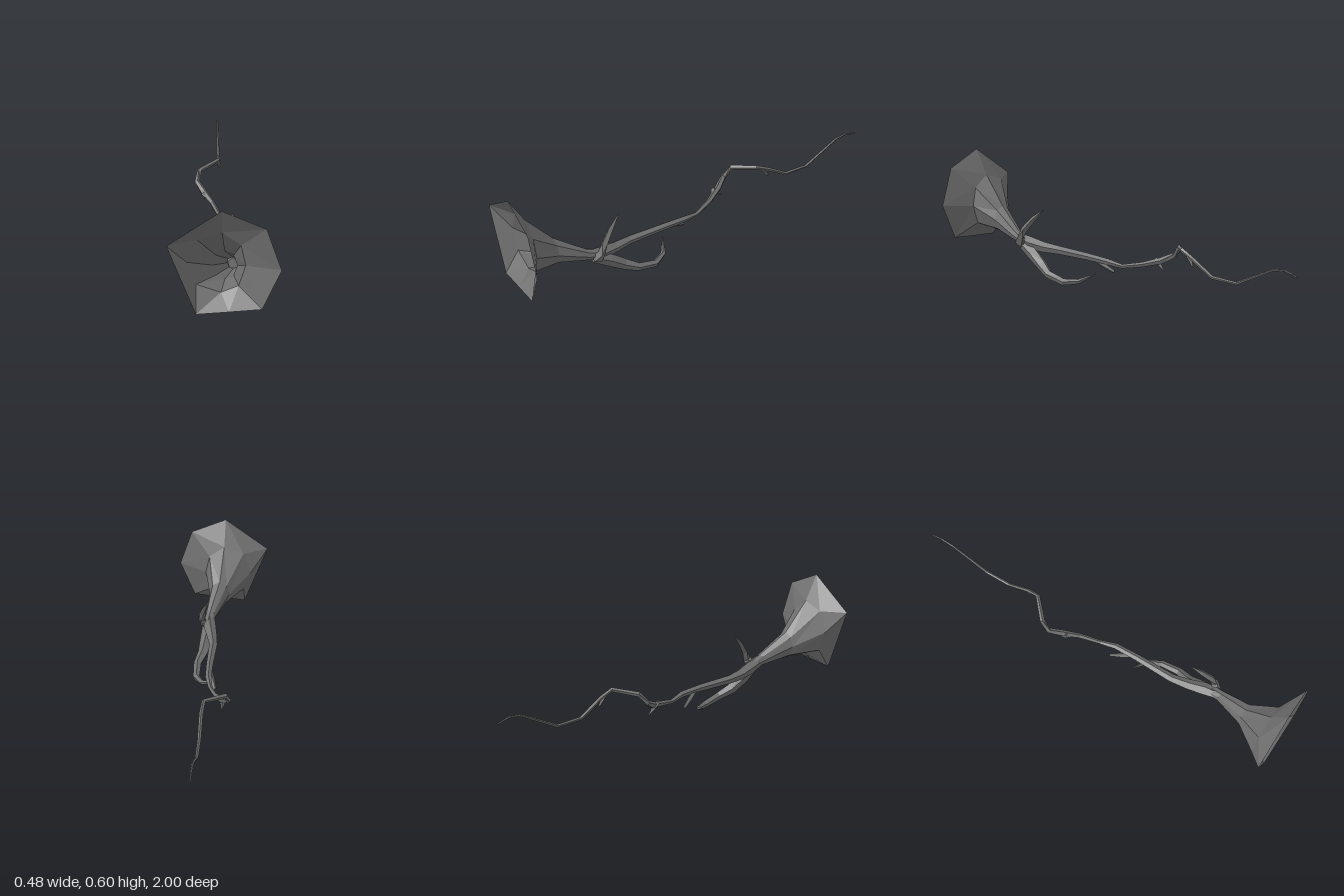
import * as THREE from 'three';

const V = (x, y, z) => new THREE.Vector3(x, y, z);

// Skin of flat facets between successive rings of equal length
function loft(rings) {
  const pos = [];
  const tri = (a, b, c) => {
    const area = b.clone().sub(a).cross(c.clone().sub(a)).length();
    if (area > 1e-9) for (const p of [a, b, c]) pos.push(p.x, p.y, p.z);
  };
  for (let i = 0; i + 1 < rings.length; i++) {
    const a = rings[i], b = rings[i + 1], n = a.length;
    for (let j = 0; j < n; j++) {
      const k = (j + 1) % n;
      tri(a[j], a[k], b[j]);
      tri(a[k], b[k], b[j]);
    }
  }
  const g = new THREE.BufferGeometry();
  g.setAttribute('position', new THREE.Float32BufferAttribute(pos, 3));
  g.computeVertexNormals();
  return g;
}

// Closed tapering limb through points [x, y, z, radius]
function limb(points, sides) {
  const c = points.map(p => V(p[0], p[1], p[2]));
  const rings = c.map((p, i) => {
    const t = c[Math.min(i + 1, c.length - 1)].clone().sub(c[Math.max(i - 1, 0)]).normalize();
    const right = t.clone().cross(V(0, 1, 0)).normalize();
    const up = right.clone().cross(t);
    return Array.from({ length: sides }, (_, j) => {
      const a = (j / sides) * Math.PI * 2;
      return p.clone()
        .addScaledVector(right, Math.sin(a) * points[i][3])
        .addScaledVector(up, Math.cos(a) * points[i][3]);
    });
  });
  const point = p => Array.from({ length: sides }, () => p.clone());
  return loft([point(c[0]), ...rings, point(c[c.length - 1])]);
}

export function createModel() {
  const group = new THREE.Group();
  const bark = new THREE.MeshStandardMaterial({ color: 0x707070, flatShading: true, side: THREE.DoubleSide });
  bark.name = 'grey bark';
  const add = (name, geometry) => {
    const m = new THREE.Mesh(geometry, bark);
    m.name = name;
    group.add(m);
  };

  // Open flared base: irregular rim, throat, then neck
  const ring = (z, pts) => pts.map(([x, y]) => V(x, y, z));
  const oval = (x, y, z, rx, ry) => Array.from({ length: 8 }, (_, j) => {
    const a = (j - 1) * Math.PI / 4;
    return V(x + Math.sin(a) * rx, y + Math.cos(a) * ry, z);
  });
  add('flaredBase', loft([
    ring(1, [[-0.24, 0.45], [-0.01, 0.61], [0.175, 0.53], [0.24, 0.34],
      [0.16, 0.155], [0.02, 0.142], [-0.12, 0.13], [-0.24, 0.45]]),
    ring(0.928, [[-0.115, 0.445], [-0.01, 0.48], [0.07, 0.42], [0.09, 0.325],
      [0.06, 0.23], [-0.015, 0.198], [-0.12, 0.235], [-0.16, 0.34]]),
    oval(0, 0.262, 0.8, 0.054, 0.068),
    oval(0.034, 0.197, 0.65, 0.028, 0.03),
    oval(0.04, 0.178, 0.58, 0.03, 0.02),
  ]));

  // Winding main root
  add('mainRoot', limb([
    [0.035, 0.19, 0.64, 0.026], [0.028, 0.172, 0.57, 0.034], [0.008, 0.158, 0.49, 0.028],
    [-0.01, 0.154, 0.4, 0.022], [-0.014, 0.152, 0.2, 0.018], [-0.02, 0.146, 0.08, 0.016],
    [-0.04, 0.132, 0, 0.011], [-0.075, 0.152, -0.1, 0.013], [-0.12, 0.176, -0.18, 0.017],
    [-0.153, 0.207, -0.235, 0.014], [-0.142, 0.255, -0.275, 0.013], [-0.05, 0.274, -0.365, 0.011],
    [-0.045, 0.243, -0.43, 0.01], [-0.05, 0.172, -0.545, 0.009], [-0.055, 0.167, -0.68, 0.008],
    [-0.062, 0.264, -0.875, 0.006], [-0.064, 0.27, -0.94, 0.005], [-0.066, 0.252, -1, 0.004],
  ], 5));

  // Hooked lower root
  add('lowerRoot', limb([
    [0.045, 0.172, 0.62, 0.024], [0.042, 0.125, 0.54, 0.032], [0.05, 0.075, 0.465, 0.028],
    [0.072, 0.044, 0.4, 0.021], [0.067, 0.02, 0.3, 0.018], [0.03, 0.026, 0.235, 0.013],
    [-0.054, 0.058, 0.188, 0.002],
  ], 5));

  // Upright side shoot
  add('upperShoot', limb([
    [0.055, 0.17, 0.61, 0.03], [0.074, 0.205, 0.594, 0.02], [0.068, 0.25, 0.572, 0.017],
    [0.05, 0.305, 0.528, 0.014], [0.03, 0.36, 0.472, 0.002],
  ], 4));

  // Short rootlets
  const rootlets = [
    [[-0.015, 0.145, 0.17, 0.012], [-0.035, 0.118, 0.12, 0.013], [-0.056, 0.088, 0.068, 0.008]],
    [[-0.115, 0.178, -0.145, 0.015], [-0.118, 0.158, -0.17, 0.013], [-0.117, 0.128, -0.2, 0.002]],
    [[-0.045, 0.252, -0.4, 0.01], [-0.046, 0.23, -0.42, 0.01], [-0.043, 0.206, -0.432, 0.006]],
  ];
  rootlets.forEach((p, i) => add('rootlet' + (i + 1), limb(p, 4)));

  return group;
}
